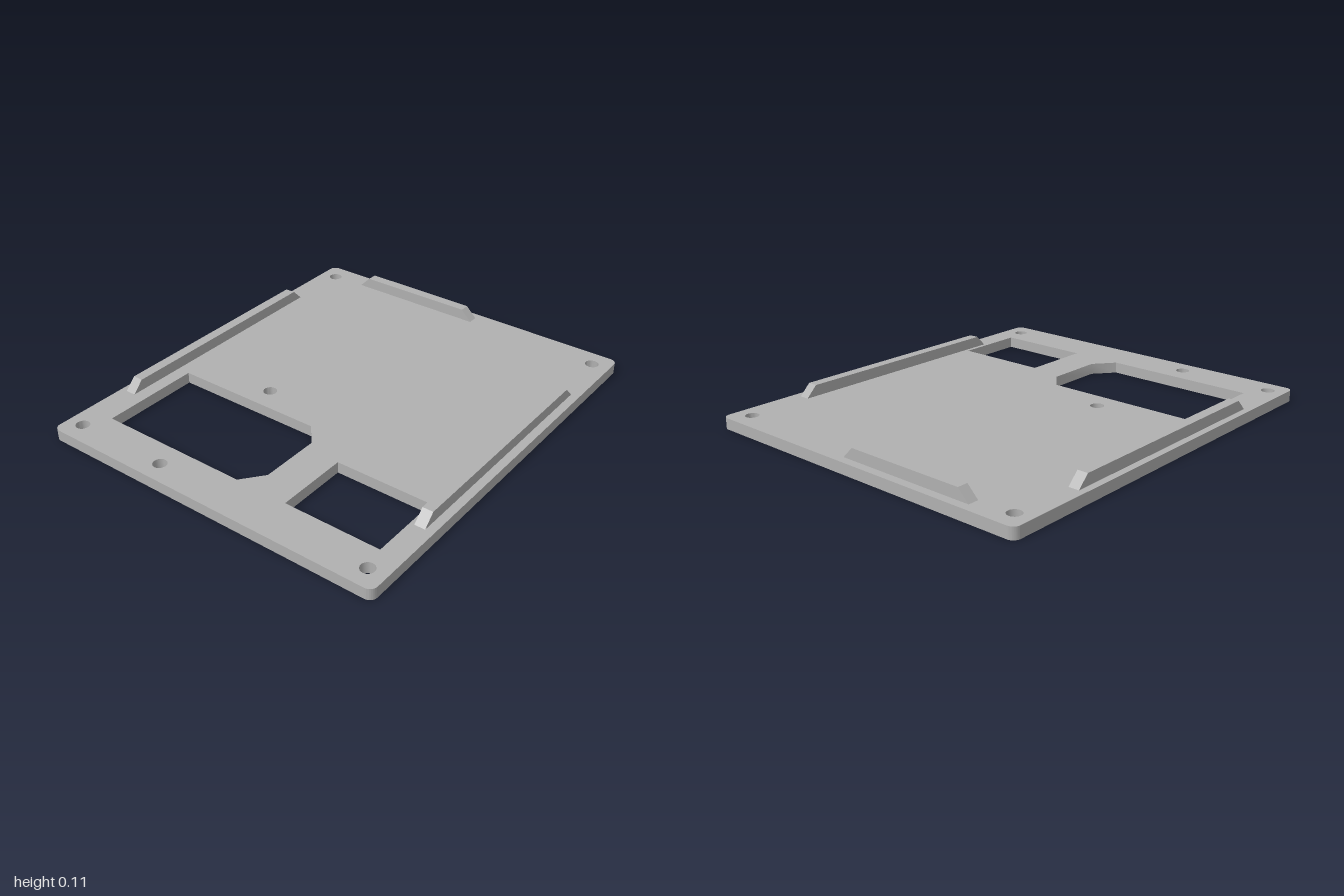
import * as THREE from 'three';
import { toCreasedNormals } from 'three/addons/utils/BufferGeometryUtils.js';

const THICK = 0.053, TOP = 0.106;
const grey = new THREE.MeshStandardMaterial({ color: 0xb0b0b0 });
grey.name = 'grey';

// Plan coordinates are (x, z); the shape's y is -z
const pathOf = (points) => new THREE.Path(points.map(([x, z]) => new THREE.Vector2(x, -z)));

function roundedPlate(w, d, r) {
  const s = new THREE.Shape();
  s.absarc(w - r, d - r, r, 0, Math.PI / 2);
  s.absarc(-w + r, d - r, r, Math.PI / 2, Math.PI);
  s.absarc(-w + r, -d + r, r, Math.PI, Math.PI * 1.5);
  s.absarc(w - r, -d + r, r, Math.PI * 1.5, Math.PI * 2);
  s.closePath();
  return s;
}

function createPlate() {
  const shape = roundedPlate(1, 0.857, 0.035);
  // Large window with two chamfered corners, and small window
  shape.holes.push(
    pathOf([[-0.797, -0.71], [-0.315, -0.71], [-0.315, 0.03], [-0.412, 0.11], [-0.697, 0.11], [-0.797, 0.03]]),
    pathOf([[-0.797, 0.285], [-0.455, 0.285], [-0.455, 0.747], [-0.797, 0.747]])
  );
  // Screw holes
  for (const [x, z] of [[-0.907, -0.775], [0.905, -0.775], [-0.907, -0.3], [-0.203, -0.3], [-0.907, 0.77], [0.905, 0.77]]) {
    shape.holes.push(new THREE.Path().absarc(x, -z, 0.032, 0, Math.PI * 2, true));
  }
  const geo = new THREE.ExtrudeGeometry(shape, { depth: THICK, bevelEnabled: false, curveSegments: 12 });
  geo.rotateX(-Math.PI / 2);
  return new THREE.Mesh(toCreasedNormals(geo, 0.7), grey);
}

// Raised rail with sloping ends, running along x
function createRail(length) {
  const h = length / 2, slope = TOP - THICK, width = 0.05;
  const shape = new THREE.Shape([[-h, THICK], [h, THICK], [h - slope, TOP], [-h + slope, TOP]]
    .map(([x, y]) => new THREE.Vector2(x, y)));
  const geo = new THREE.ExtrudeGeometry(shape, { depth: width, bevelEnabled: false });
  geo.translate(0, 0, -width / 2);
  return new THREE.Mesh(geo, grey);
}

export function createModel() {
  const model = new THREE.Group();
  model.name = 'mountingPlate';
  const plate = createPlate();
  plate.name = 'basePlate';
  model.add(plate);

  for (const [name, length, x, z, turn] of [
    ['backRail', 1.2, 0, -0.8, 0],
    ['frontRail', 1.2, 0, 0.792, 0],
    ['leftRail', 0.69, 0.935, -0.258, Math.PI / 2],
  ]) {
    const rail = createRail(length);
    rail.name = name;
    rail.position.set(x, 0, z);
    rail.rotation.y = turn;
    model.add(rail);
  }
  return model;
}
